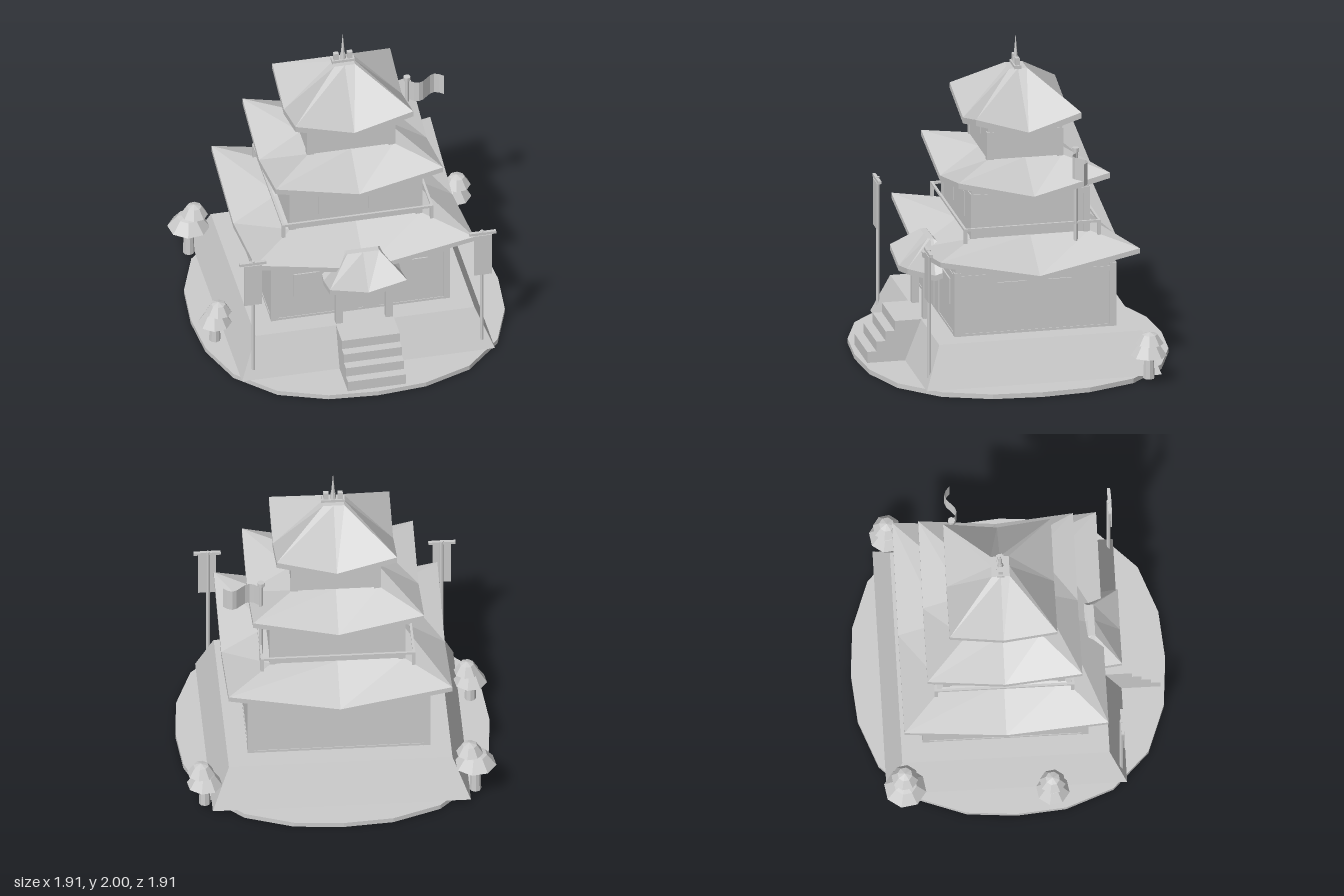
import * as THREE from 'three';

const CZ = -0.047; // depth of the tower's axis
const stone = new THREE.MeshStandardMaterial({ color: 0xcccccc, flatShading: true });
stone.name = 'pale grey';
const cloth = stone.clone();
cloth.name = 'pale grey cloth';
cloth.side = THREE.DoubleSide;

function add(parent, name, geometry, x = 0, y = 0, z = 0, material = stone) {
  const mesh = new THREE.Mesh(geometry, material);
  mesh.name = name;
  mesh.position.set(x, y, z);
  parent.add(mesh);
  return mesh;
}

// Box given by its centre in x and z and its bottom and top in y
function box(parent, name, x, z, y0, y1, w, d) {
  return add(parent, name, new THREE.BoxGeometry(w, y1 - y0, d), x, (y0 + y1) / 2, z);
}

function pole(parent, name, x, z, y0, y1, r0, r1 = r0, sides = 8) {
  return add(parent, name, new THREE.CylinderGeometry(r1, r0, y1 - y0, sides), x, (y0 + y1) / 2, z);
}

// Closed skin over rings of points, listed from the bottom up
function loft(rings) {
  const p = [];
  for (let k = 0; k + 1 < rings.length; k++) {
    const low = rings[k], up = rings[k + 1], n = low.length;
    for (let i = 0; i < n; i++) {
      const j = (i + 1) % n;
      if (k > 0) p.push(...low[i], ...up[i], ...low[j]);
      if (k < rings.length - 2) p.push(...up[i], ...up[j], ...low[j]);
    }
  }
  const g = new THREE.BufferGeometry();
  g.setAttribute('position', new THREE.Float32BufferAttribute(p, 3));
  g.computeVertexNormals();
  return g;
}

const SQUARE = [[1, 0], [1, 1], [0, 1], [-1, 1], [-1, 0], [-1, -1], [0, -1], [1, -1]];
// Square ring with separate heights at corners and side middles
const ring = (hx, hz, yCorner, yMid = yCorner) =>
  SQUARE.map(([x, z]) => [x * hx, x * z ? yCorner : yMid, z * hz]);

// Hipped roof whose eaves sag between raised corners
function roof(parent, name, z, hx, hz, yCorner, yMid, topX, topZ, yTop, thick) {
  add(parent, name, loft([
    ring(0, 0, yMid - thick),
    ring(hx, hz, yCorner - thick, yMid - thick),
    ring(hx, hz, yCorner, yMid),
    ring(topX, topZ, yTop),
    ring(0, 0, yTop),
  ]), 0, 0, z);
}

// Storey walls with corner posts and sill and head beams
function storey(parent, name, hx, hz, y0, y1, beams) {
  const g = new THREE.Group();
  g.name = name;
  parent.add(g);
  box(g, 'walls', 0, CZ, y0, y1, hx * 2, hz * 2);
  for (const sx of [-1, 1]) for (const sz of [-1, 1])
    box(g, 'cornerPost', sx * (hx - 0.015), CZ + sz * (hz - 0.015), y0, y1 - 0.04, 0.042, 0.042);
  for (const [a, b] of beams) box(g, 'beam', 0, CZ, a, b, hx * 2 + 0.008, hz * 2 + 0.008);
}

function tree(parent, x, z, lowR, lowY, topR, topY, lean) {
  const g = new THREE.Group();
  g.name = 'tree';
  g.position.set(x, 0, z);
  parent.add(g);
  pole(g, 'trunk', 0, 0, 0.03, lowY + 0.03, 0.036, 0.028);
  const crown = (cx, r, y, h) => {
    const c = (k, yy) => Array.from({ length: 8 }, (_, i) => {
      const a = (i + 0.3) * Math.PI / 4;
      return [k * r * Math.cos(a), yy, k * r * Math.sin(a)];
    });
    add(g, 'foliage', loft([c(0, 0), c(1, 0), c(0.55, h * 0.8), c(0, h)]), cx, y, 0);
  };
  crown(0, lowR, lowY, 0.09);
  crown(lean, topR, topY, 0.073);
}

export function createModel() {
  const model = new THREE.Group();
  model.name = 'pagoda';

  // Ground slab: a rounded, slightly squarish outline
  const slab = (k, y) => Array.from({ length: 20 }, (_, i) => {
    const a = i * Math.PI / 10, r = k * (0.955 + 0.065 * Math.sin(2 * a) ** 2);
    return [r * Math.cos(a), y, r * Math.sin(a)];
  });
  add(model, 'ground', loft([slab(0, 0), slab(1, 0), slab(1, 0.03), slab(0, 0.03)]));

  // Sloping plinth and front steps
  add(model, 'plinth', loft([ring(0, 0, 0.03), ring(0.785, 0.73, 0.03),
    ring(0.68, 0.63, 0.285), ring(0, 0, 0.285)]), 0, 0, -0.05);
  for (let i = 0; i < 4; i++) {
    const front = 0.915 - i * 0.057;
    box(model, 'step', 0, (front + 0.56) / 2, 0.03, 0.1 + i * 0.062, 0.36, front - 0.56);
  }

  // Storeys and roofs
  storey(model, 'lowerStorey', 0.55, 0.498, 0.285, 0.73, [[0.285, 0.3], [0.64, 0.67]]);
  storey(model, 'middleStorey', 0.407, 0.365, 0.84, 1.18, [[1.1, 1.135]]);
  storey(model, 'upperStorey', 0.268, 0.232, 1.29, 1.52, []);
  roof(model, 'lowerRoof', CZ, 0.68, 0.62, 0.812, 0.68, 0.405, 0.365, 0.857, 0.032);
  roof(model, 'middleRoof', CZ, 0.52, 0.47, 1.255, 1.135, 0.265, 0.23, 1.307, 0.035);
  roof(model, 'upperRoof', CZ, 0.366, 0.327, 1.6, 1.495, 0.065, 0.055, 1.808, 0.038);

  // Windows on the front and the left side
  const wallZ = CZ + 0.502;
  for (const s of [-1, 1]) {
    box(model, 'frontWindow', s * 0.318, wallZ, 0.45, 0.615, 0.195, 0.009);
    box(model, 'door', s * 0.065, wallZ, 0.3, 0.57, 0.1, 0.009);
    box(model, 'sideWindow', 0.554, CZ + 0.007 + s * 0.14, 0.45, 0.615, 0.009, 0.18);
    box(model, 'middleWindow', s * 0.155, CZ + 0.367, 0.945, 1.1, 0.15, 0.009);
  }
  box(model, 'upperWindow', 0, CZ + 0.234, 1.41, 1.475, 0.145, 0.009);

  // Balcony railing
  for (const s of [-1, 1]) {
    box(model, 'railing', 0, CZ + s * 0.417, 0.925, 0.94, 0.94, 0.015);
    box(model, 'railing', s * 0.462, CZ, 0.925, 0.94, 0.015, 0.84);
    for (const t of [-1, 1])
      box(model, 'railingPost', s * 0.46, CZ + t * 0.415, 0.82, 0.94, 0.02, 0.02);
  }

  // Porch
  roof(model, 'porchRoof', 0.505, 0.24, 0.175, 0.635, 0.578, 0.1, 0.02, 0.77, 0.035);
  for (const s of [-1, 1]) box(model, 'porchPost', s * 0.155, 0.545, 0.285, 0.6, 0.045, 0.045);

  // Roof finial
  box(model, 'ridgeCap', 0, CZ, 1.795, 1.825, 0.14, 0.045);
  for (const s of [-1, 1]) box(model, 'ridgeOrnament', s * 0.043, CZ, 1.82, 1.87, 0.032, 0.026);
  pole(model, 'spireCollar', 0, CZ, 1.82, 1.865, 0.02, 0.015);
  pole(model, 'spire', 0, CZ, 1.86, 2, 0.013, 0.001);

  // Hanging banners either side of the steps
  for (const s of [-1, 1]) {
    pole(model, 'bannerPole', s * 0.71, 0.65, 0.09, 0.91, 0.012);
    box(model, 'banner', s * 0.714, 0.664, 0.59, 0.885, 0.11, 0.008);
    box(model, 'bannerBar', s * 0.714, 0.655, 0.887, 0.905, 0.165, 0.02);
  }

  // Waving flag on the lower roof
  pole(model, 'flagPole', 0.458, -0.318, 0.8, 1.4, 0.013);
  pole(model, 'flagPoleCap', 0.458, -0.318, 1.385, 1.41, 0.022);
  const flag = new THREE.PlaneGeometry(0.22, 0.14, 8, 1);
  const pos = flag.attributes.position;
  for (let i = 0; i < pos.count; i++)
    pos.setZ(i, 0.035 * Math.sin((pos.getX(i) + 0.11) / 0.22 * Math.PI * 2));
  flag.computeVertexNormals();
  add(model, 'flag', flag, 0.58, 1.308, -0.318, cloth);

  // Trees
  tree(model, -0.82, -0.67, 0.13, 0.225, 0.083, 0.31, 0.035);
  tree(model, 0.828, -0.69, 0.11, 0.175, 0.085, 0.258, 0.022);
  tree(model, -0.855, 0.225, 0.103, 0.16, 0.08, 0.235, 0.022);

  return model;
}
